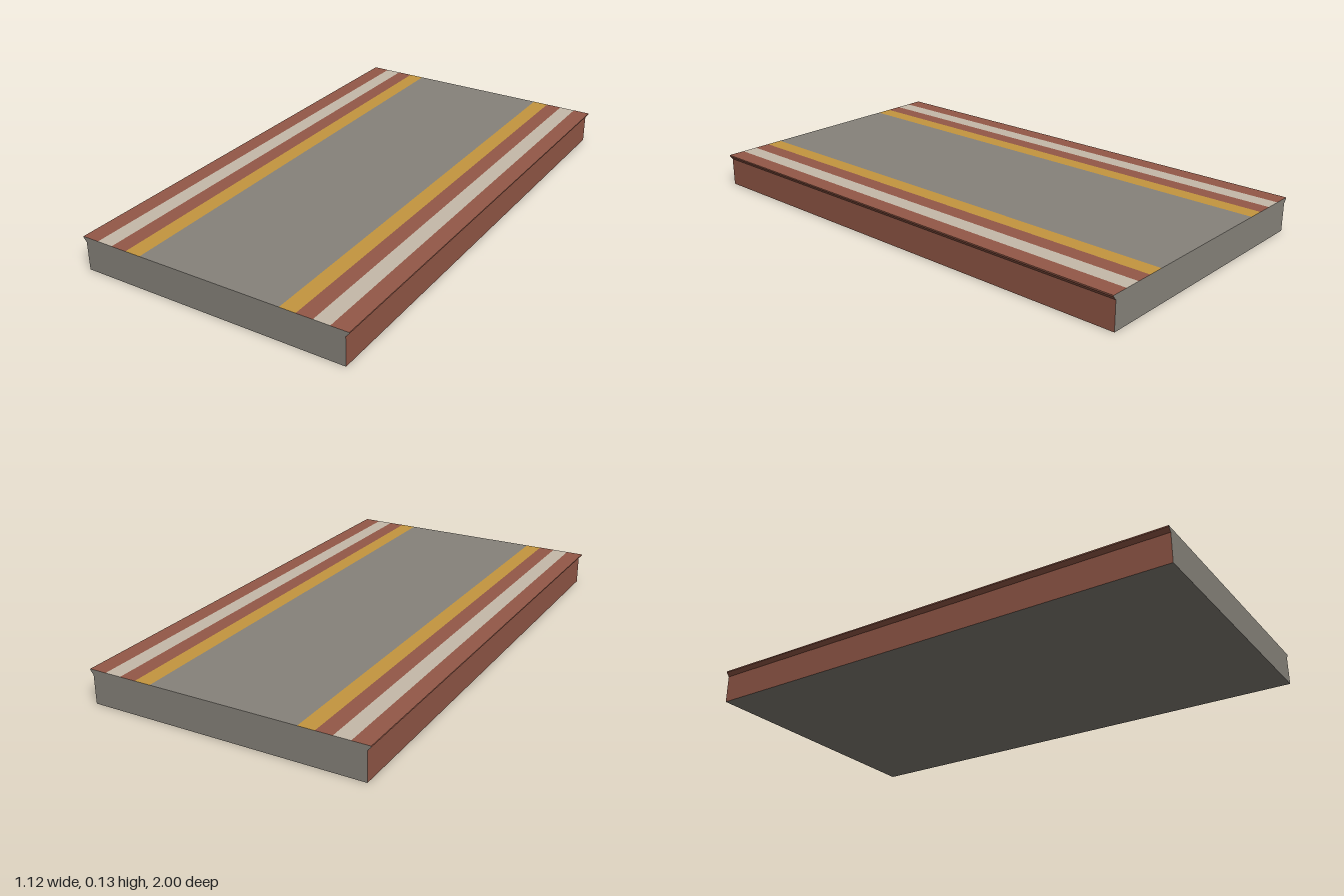
import * as THREE from 'three';

const paint = (name, color) => {
  const m = new THREE.MeshStandardMaterial({ color });
  m.name = name;
  return m;
};

const LENGTH = 2;
const BASE = 0.547, EDGE = 0.56;             // half widths of the base and the overhanging lip
const LIP_LOW = 0.113, LIP_HIGH = 0.128, TOP = 0.133;

// One flat face swept along z from profile point a to b (profile runs counter-clockwise)
function strip(name, material, a, b) {
  const h = LENGTH / 2;
  const g = new THREE.BufferGeometry();
  g.setAttribute('position', new THREE.Float32BufferAttribute([
    ...a, h, ...a, -h, ...b, -h, ...b, h,
  ], 3));
  g.setIndex([0, 1, 2, 0, 2, 3]);
  g.computeVertexNormals();
  const mesh = new THREE.Mesh(g, material);
  mesh.name = name;
  return mesh;
}

export function createModel() {
  const concrete = paint('concrete grey', 0x86827a);
  const brick = paint('brick red', 0x935847);
  const cream = paint('pale stone', 0xc5b9a9);
  const yellow = paint('warning yellow', 0xc4963f);

  const model = new THREE.Group();
  model.name = 'platform';

  // Underside
  model.add(strip('underside', concrete, [-BASE, 0], [BASE, 0]));

  // Side walls, each with a flared lip
  const wall = [[BASE, 0], [BASE, LIP_LOW], [EDGE, LIP_HIGH], [EDGE, TOP]];
  const parts = ['Wall', 'LipUnderside', 'LipEdge'];
  parts.forEach((part, i) => {
    const [a, b] = [wall[i], wall[i + 1]];
    model.add(strip('left' + part, brick, a, b));
    model.add(strip('right' + part, brick, [-b[0], b[1]], [-a[0], a[1]]));
  });

  // Paved deck: mirrored coloured bands around a plain centre
  const bands = [
    ['EdgeBand', brick, 0.49, EDGE],
    ['PaleBand', cream, 0.425, 0.49],
    ['InnerBand', brick, 0.36, 0.425],
    ['YellowLine', yellow, 0.295, 0.36],
  ];
  for (const [name, material, inner, outer] of bands) {
    model.add(strip('left' + name, material, [outer, TOP], [inner, TOP]));
    model.add(strip('right' + name, material, [-inner, TOP], [-outer, TOP]));
  }
  model.add(strip('deck', concrete, [0.295, TOP], [-0.295, TOP]));

  // End faces
  const outline = [...wall, ...wall.map(([x, y]) => [-x, y]).reverse()];
  const shape = new THREE.Shape(outline.map(([x, y]) => new THREE.Vector2(x, y)));
  for (const side of [1, -1]) {
    const end = new THREE.Mesh(new THREE.ShapeGeometry(shape), concrete);
    end.name = side > 0 ? 'frontEnd' : 'backEnd';
    end.position.z = side * LENGTH / 2;
    if (side < 0) end.rotation.y = Math.PI;
    model.add(end);
  }
  return model;
}
